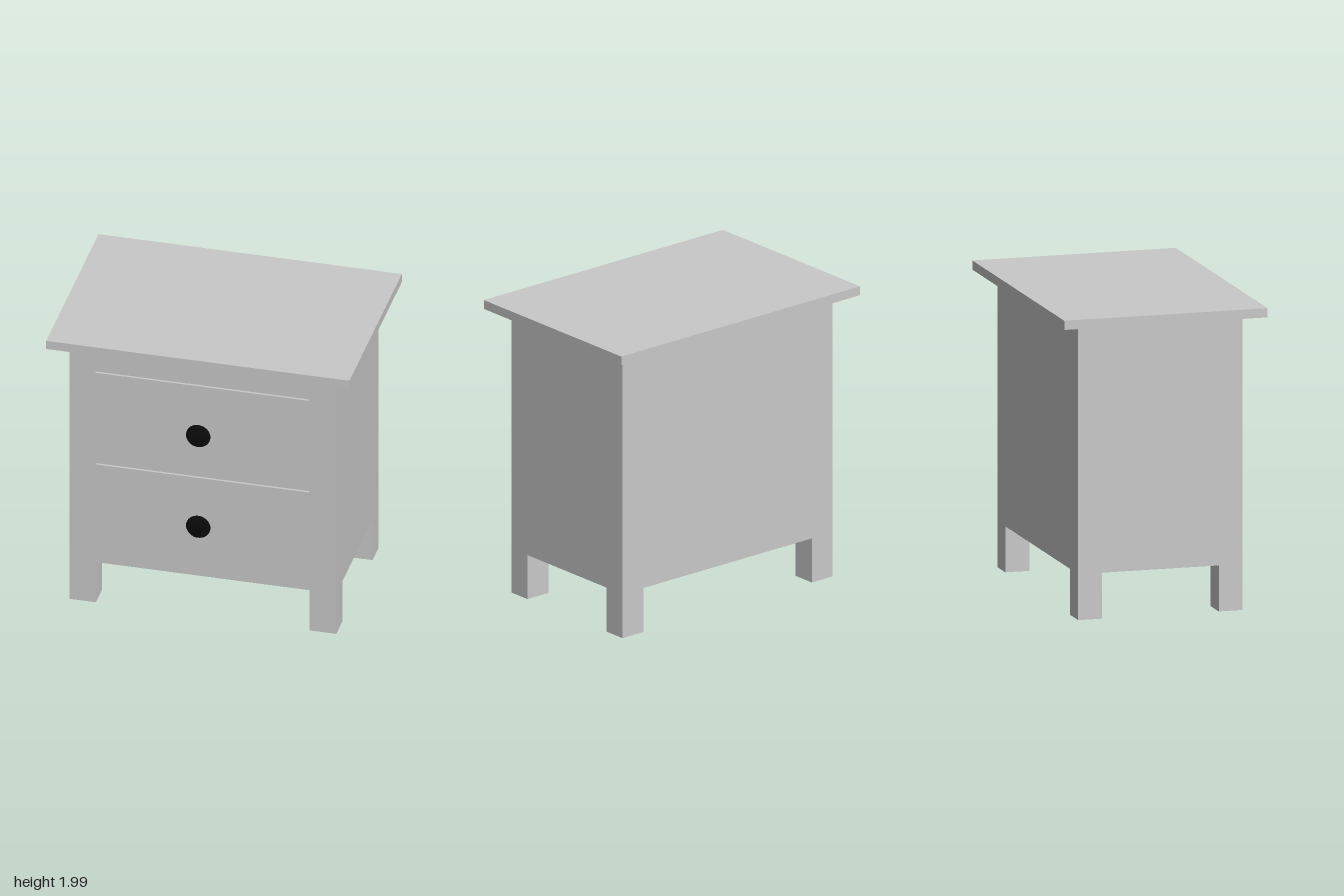
import * as THREE from 'three';

export function createModel() {
  const root = new THREE.Group();
  root.name = 'nightstand';
  const paint = new THREE.MeshStandardMaterial({ color: 0xc8c9c8 });
  paint.name = 'pale grey paint';
  const black = new THREE.MeshStandardMaterial({ color: 0x0b0b0b });
  black.name = 'black knob';

  // Box given by its minimum and maximum corners
  function box(name, [x0, y0, z0], [x1, y1, z1]) {
    const mesh = new THREE.Mesh(new THREE.BoxGeometry(x1 - x0, y1 - y0, z1 - z0), paint);
    mesh.position.set((x0 + x1) / 2, (y0 + y1) / 2, (z0 + z1) / 2);
    mesh.name = name;
    root.add(mesh);
  }

  // Cabinet and overhanging top
  box('cabinet', [-0.88, 0.3, -0.55], [0.88, 1.925, 0.55]);
  box('tabletop', [-1, 1.925, -0.68], [1, 1.985, 0.68]);

  // Four square legs, flush with the cabinet corners
  for (const sx of [-1, 1]) {
    for (const sz of [-1, 1]) {
      const x = sx * 0.7925, z = sz * 0.47;
      const name = (sz > 0 ? 'front' : 'back') + (sx > 0 ? 'Left' : 'Right') + 'Leg';
      box(name, [x - 0.0875, 0, z - 0.08], [x + 0.0875, 0.3, z + 0.08]);
    }
  }

  // Turned knob: thin stem flaring to a bevelled disc
  const profile = [[0.025, 0], [0.025, 0.037], [0.048, 0.037], [0.08, 0.06], [0.08, 0.066], [0.072, 0.08], [0, 0.082]]
    .map(([r, h]) => new THREE.Vector2(r, h));
  const knobGeometry = new THREE.LatheGeometry(profile, 32);
  knobGeometry.rotateX(Math.PI / 2);

  // Drawer fronts, each with one knob
  const drawers = [['lower', 0.44, 1.04, 0.715], ['upper', 1.108, 1.725, 1.393]];
  for (const [level, y0, y1, knobY] of drawers) {
    box(level + 'Drawer', [-0.705, y0, 0.55], [0.705, y1, 0.567]);
    const knob = new THREE.Mesh(knobGeometry, black);
    knob.position.set(-0.01, knobY, 0.567);
    knob.name = level + 'Knob';
    root.add(knob);
  }
  return root;
}
